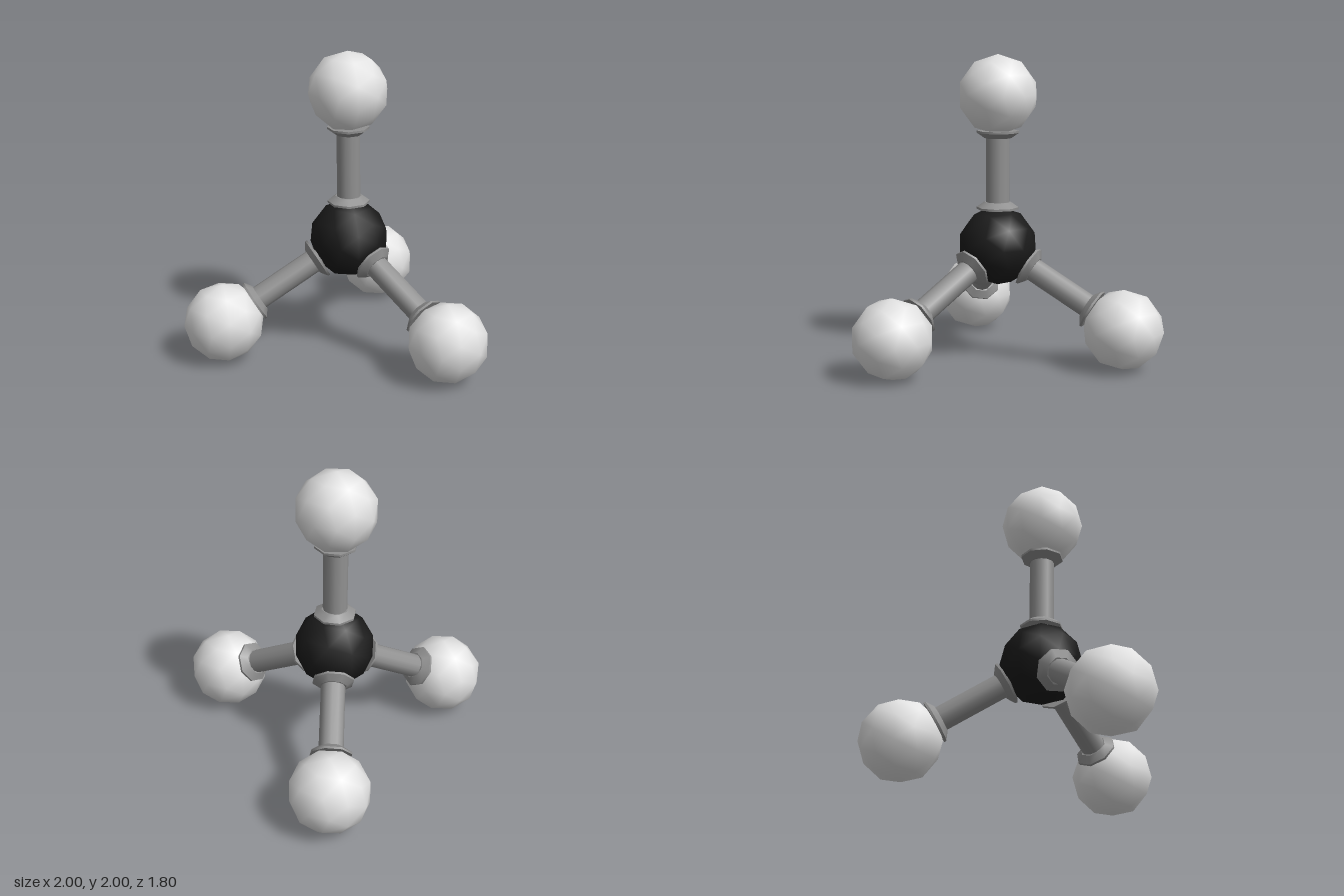
import * as THREE from 'three';

export function createModel() {
  const white = new THREE.MeshStandardMaterial({ color: 0xe2e2e2 });
  white.name = 'white';
  const black = new THREE.MeshStandardMaterial({ color: 0x1a1a1a });
  black.name = 'black';
  const grey = new THREE.MeshStandardMaterial({ color: 0x919191 });
  grey.name = 'grey';

  const model = new THREE.Group();
  model.name = 'tripodMolecule';

  const bondLength = 0.9867;
  const centre = new THREE.Vector3(0, 0.7533, -0.2137);
  const up = new THREE.Vector3(0, 1, 0);

  const add = (parent, geometry, material, name, y = 0) => {
    const mesh = new THREE.Mesh(geometry, material);
    mesh.name = name;
    mesh.position.y = y;
    parent.add(mesh);
    return mesh;
  };

  const ball = new THREE.IcosahedronGeometry(0.26, 1);
  const rod = new THREE.CylinderGeometry(0.078, 0.078, 0.6, 12);
  const lip = new THREE.CylinderGeometry(0.137, 0.137, 0.014, 8);
  const taper = new THREE.CylinderGeometry(0.088, 0.137, 0.034, 8);

  // Central atom
  add(model, ball, black, 'centreAtom').position.copy(centre);

  // Collar seated on an atom, widest against the ball
  const addCollar = (parent, y, flip, name) => {
    const collar = new THREE.Group();
    collar.name = name;
    collar.position.y = y;
    if (flip) collar.rotation.x = Math.PI;
    add(collar, lip, grey, 'collarLip', 0.007);
    add(collar, taper, grey, 'collarTaper', 0.031);
    parent.add(collar);
  };

  // One bond up, three sloping 30 degrees down, evenly around the axis
  const drop = -Math.sin(Math.PI / 6);
  const spread = Math.cos(Math.PI / 6);
  const directions = [['top', up]];
  ['front', 'backLeft', 'backRight'].forEach((name, i) => {
    const a = (i * Math.PI * 2) / 3;
    directions.push([name, new THREE.Vector3(spread * Math.sin(a), drop, spread * Math.cos(a))]);
  });

  for (const [name, direction] of directions) {
    const bond = new THREE.Group();
    bond.name = name + 'Bond';
    bond.position.copy(centre);
    bond.quaternion.setFromUnitVectors(up, direction);
    add(bond, rod, grey, 'rod', bondLength / 2);
    addCollar(bond, 0.242, false, 'innerCollar');
    addCollar(bond, bondLength - 0.232, true, 'outerCollar');
    model.add(bond);

    // Outer atom
    add(model, ball, white, name + 'Atom').position.copy(centre).addScaledVector(direction, bondLength);
  }

  return model;
}
